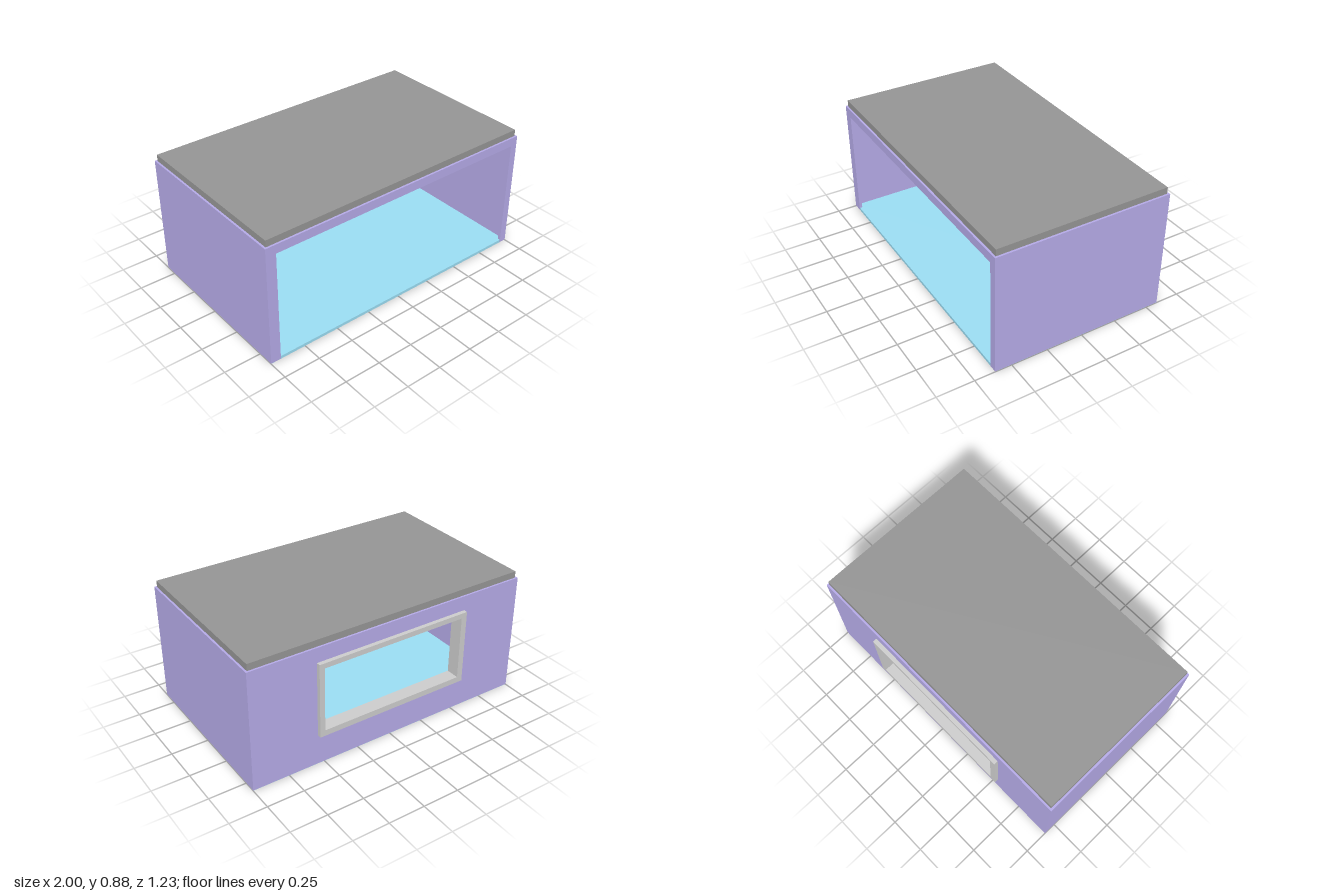
import * as THREE from 'three';

const material = (color) => new THREE.MeshStandardMaterial({ color });

export function createModel() {
  const group = new THREE.Group();
  const purple = material(0xb4a9e6);
  const roofGrey = material(0x949494);
  const grey = material(0xcccccc);
  const blue = material(0x9adcf2);
  const red = material(0xff0000);

  const add = (name, geometry, mat) => {
    const mesh = new THREE.Mesh(geometry, mat);
    mesh.name = name;
    group.add(mesh);
    return mesh;
  };

  // Box given by its limits on each axis
  const box = (name, mat, [x0, x1], [y0, y1], [z0, z1]) =>
    add(name, new THREE.BoxGeometry(x1 - x0, y1 - y0, z1 - z0), mat)
      .position.set((x0 + x1) / 2, (y0 + y1) / 2, (z0 + z1) / 2);

  const rect = (path, x0, x1, y0, y1) =>
    path.moveTo(x0, y0).lineTo(x1, y0).lineTo(x1, y1).lineTo(x0, y1).closePath();

  // Upright panel with a rectangular opening
  const holedPanel = (name, mat, outer, hole, [z0, z1]) => {
    const shape = rect(new THREE.Shape(), ...outer);
    shape.holes.push(rect(new THREE.Path(), ...hole));
    const geometry = new THREE.ExtrudeGeometry(shape, { depth: z1 - z0, bevelEnabled: false });
    add(name, geometry, mat).position.z = z0;
  };

  const base = 0.003, top = 0.83, back = -0.585, front = 0.613, wall = 0.02;

  // Floor slab
  box('floor', blue, [-0.998, 0.998], [0, 0.02], [back + 0.002, front - 0.002]);

  // Side walls
  for (const [name, s] of [['leftWall', 1], ['rightWall', -1]]) {
    const xs = [s, s * (1 - wall)].sort((a, b) => a - b);
    box(name, purple, xs, [base, top], [back + wall, front - wall]);
  }

  // Back wall with window opening
  holedPanel('backWall', purple, [-1, 1, base, top], [-0.54, 0.53, 0.23, 0.715], [back, back + wall]);

  // Front surround: two posts and a lintel
  const surround = new THREE.Shape([
    [-1, base], [-0.93, base], [-0.93, 0.77], [0.95, 0.77],
    [0.95, base], [1, base], [1, top], [-1, top],
  ].map(([x, y]) => new THREE.Vector2(x, y)));
  add('frontSurround', new THREE.ExtrudeGeometry(surround, { depth: wall, bevelEnabled: false }), purple)
    .position.z = front - wall;

  // Roof, slightly inset and sunk between the walls
  box('roof', roofGrey, [-0.987, 0.987], [0.815, 0.875], [-0.572, 0.6]);

  // Window frame passing through the back wall
  holedPanel('windowFrame', grey, [-0.555, 0.545, 0.215, 0.73], [-0.515, 0.51, 0.255, 0.695], [-0.613, -0.52]);

  // Low panel along the inside of the back wall
  box('lowPanel', grey, [-0.93, 0.95], [0.02, 0.235], [-0.567, -0.529]);

  // Ceiling fixture with red strip
  box('ceilingFixture', roofGrey, [-0.6, -0.46], [0.8, 0.82], [-0.36, 0.36]);
  box('redStrip', red, [-0.6, -0.55], [0.795, 0.81], [-0.36, 0.36]);

  return group;
}
